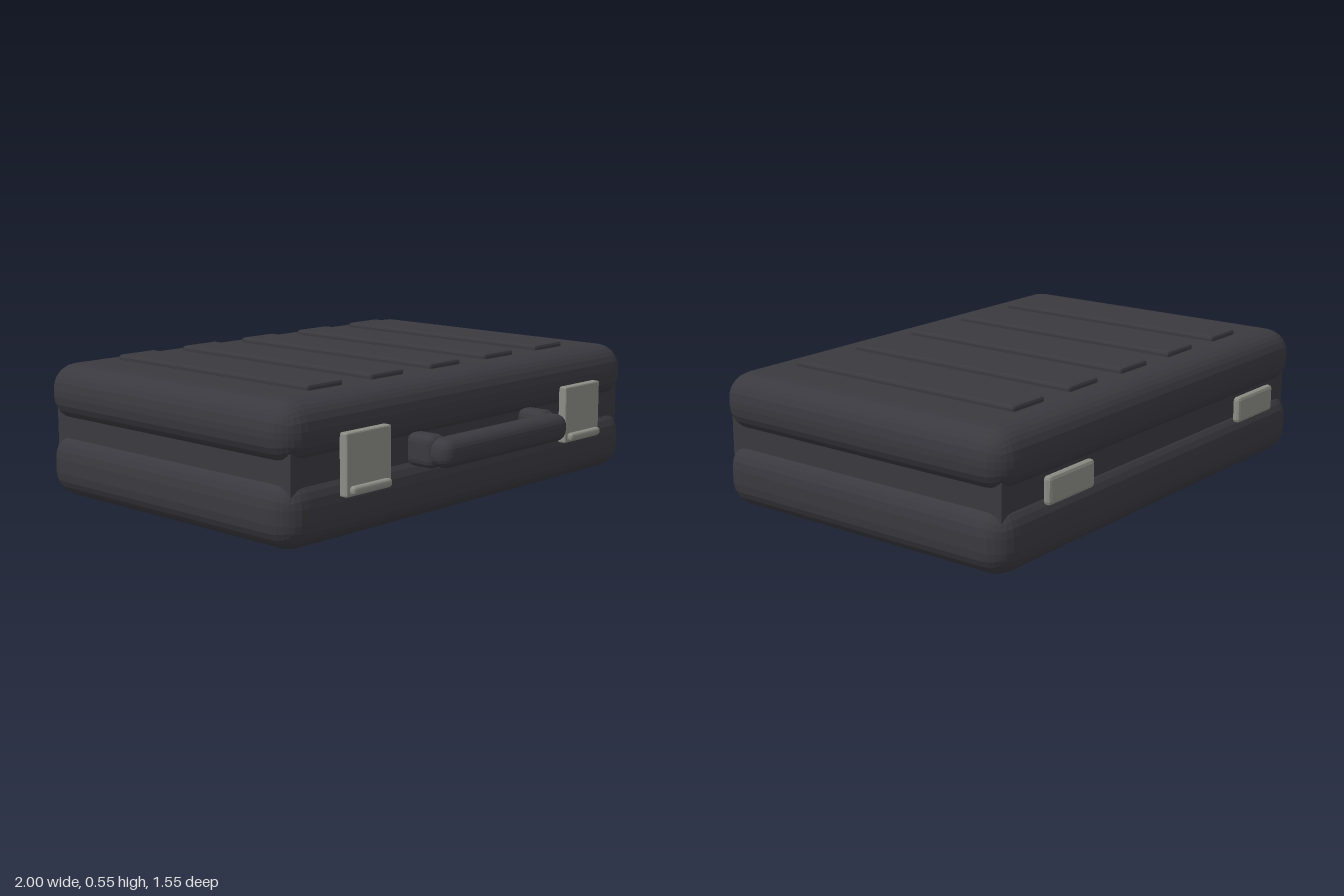
import * as THREE from 'three';
import { RoundedBoxGeometry } from 'three/addons/geometries/RoundedBoxGeometry.js';

export function createModel() {
  const model = new THREE.Group();
  model.name = 'briefcase';
  const charcoal = new THREE.MeshStandardMaterial({ name: 'charcoal', color: 0x3a393f });
  const metal = new THREE.MeshStandardMaterial({ name: 'brushed metal', color: 0x8c8d85 });

  // Faceted rounded box given by its minimum and maximum corners
  function block(name, material, min, max, radius = 0, segments = 1) {
    const size = max.map((v, i) => v - min[i]);
    const geometry = radius
      ? new RoundedBoxGeometry(...size, segments, radius)
      : new THREE.BoxGeometry(...size);
    if (radius) geometry.computeVertexNormals();
    const mesh = new THREE.Mesh(geometry, material);
    mesh.name = name;
    mesh.position.set(...max.map((v, i) => (v + min[i]) / 2));
    model.add(mesh);
    return mesh;
  }

  // Two shells with a recessed seam between them
  block('lowerShell', charcoal, [-1, 0, -0.75], [1, 0.255, 0.61], 0.1, 3);
  block('upperShell', charcoal, [-1, 0.3, -0.75], [1, 0.525, 0.61], 0.1, 3);
  block('seam', charcoal, [-0.96, 0.2, -0.715], [0.96, 0.35, 0.58]);

  // Raised ribs on the lid
  for (let i = -2; i <= 2; i++) {
    const x = i * 0.328;
    block('lidRib', charcoal, [x - 0.09, 0.505, -0.6], [x + 0.09, 0.545, 0.45], 0.01, 1);
  }

  // Latches, hinges and handle posts, mirrored left and right
  for (const [side, s] of [['left', 1], ['right', -1]]) {
    const x = s * 0.635;
    block(side + 'LatchPlate', metal, [x - 0.115, 0.172, 0.605], [x + 0.115, 0.4, 0.642], 0.006, 1);
    block(side + 'LatchLip', metal, [x - 0.1, 0.18, 0.635], [x + 0.1, 0.212, 0.665], 0.012, 2);
    block(side + 'Hinge', metal, [x - 0.135, 0.225, -0.775], [x + 0.135, 0.332, -0.742], 0.014, 1);
    const p = s * 0.328;
    block(side + 'HandlePost', charcoal, [p - 0.043, 0.216, 0.57], [p + 0.043, 0.34, 0.705], 0.03, 2);
  }

  // Handle grip
  block('handleGrip', charcoal, [-0.37, 0.224, 0.662], [0.37, 0.332, 0.775], 0.045, 3);

  return model;
}
